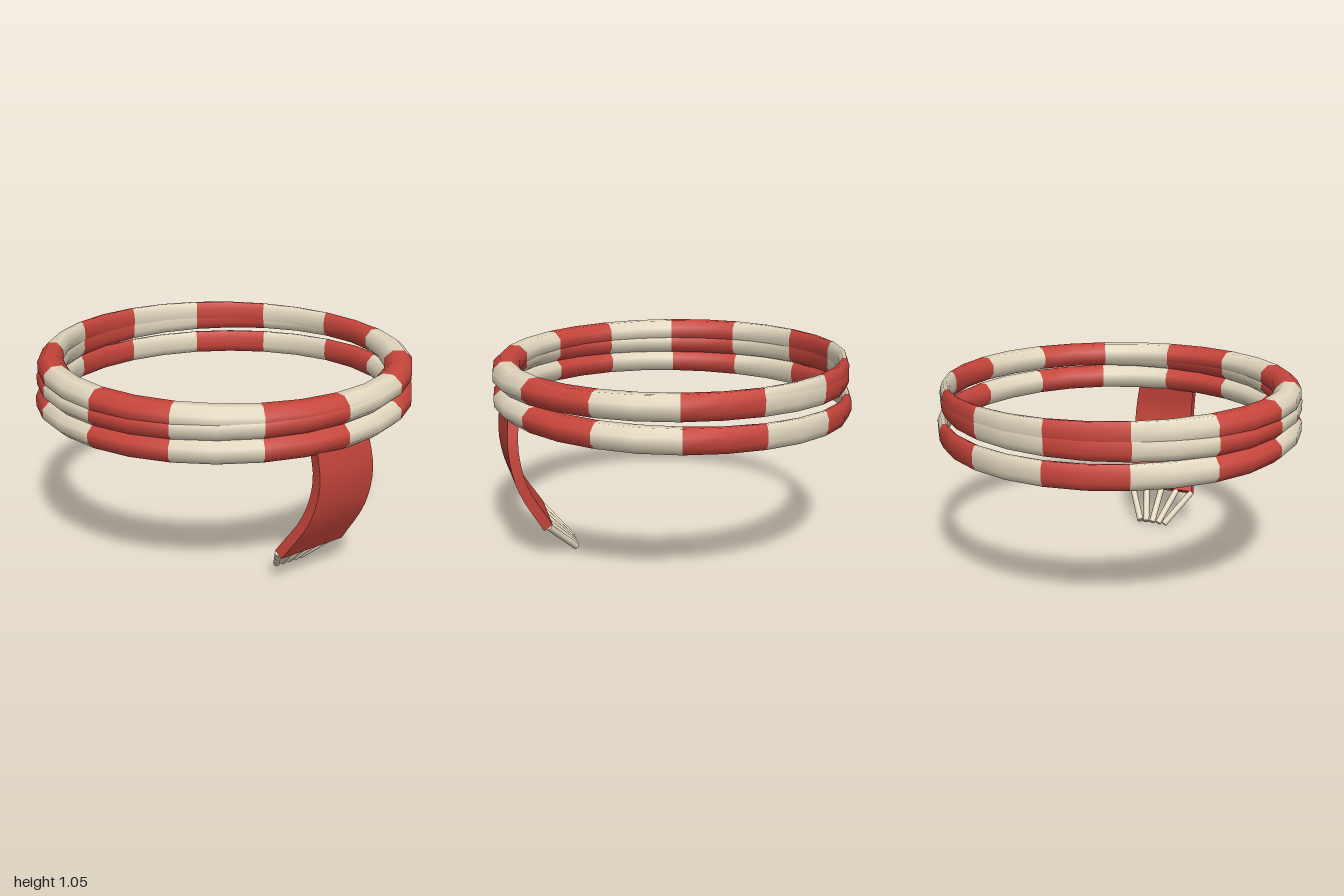
import * as THREE from 'three';
import { mergeGeometries } from 'three/addons/utils/BufferGeometryUtils.js';

const V = (x, y, z) => new THREE.Vector3(x, y, z);
const red = new THREE.MeshStandardMaterial({ color: 0xc8463c });
const cream = new THREE.MeshStandardMaterial({ color: 0xe3d8bf });

const SEGMENTS = 28, SIDES = 8, PER_STRIPE = 2;

// One closed wrap: octagonal section, thick in front and flat at the back,
// split into two meshes of alternating stripes that share smooth normals
function wrap(name, { rx, rz, cz, y, tiltX, tiltZ, half }) {
  const pos = [], index = [[], []];
  const k = 1 / Math.cos(Math.PI / SIDES);
  for (let i = 0; i < SEGMENTS; i++) {
    const a = (i / SEGMENTS) * Math.PI * 2, s = Math.sin(a), c = Math.cos(a);
    const thick = 0.025 + 0.043 * THREE.MathUtils.smoothstep(c, -0.7, 0.05);
    for (let j = 0; j < SIDES; j++) {
      const b = ((j + 0.5) / SIDES) * Math.PI * 2;
      const out = thick * k * Math.cos(b);
      pos.push(
        s * (rx + out),
        y + tiltX * s + tiltZ * c + half * k * Math.sin(b),
        cz + c * (rz + out)
      );
      const at = (m, n) => (m % SEGMENTS) * SIDES + (n % SIDES);
      const p = at(i, j), q = at(i + 1, j), r = at(i + 1, j + 1), t = at(i, j + 1);
      index[Math.floor(i / PER_STRIPE) % 2].push(p, q, r, p, r, t);
    }
  }
  const full = new THREE.BufferGeometry();
  full.setAttribute('position', new THREE.Float32BufferAttribute(pos, 3));
  full.setIndex([...index[0], ...index[1]]);
  full.computeVertexNormals();

  const group = new THREE.Group();
  group.name = name;
  [red, cream].forEach((material, n) => {
    const geometry = new THREE.BufferGeometry();
    geometry.setAttribute('position', full.attributes.position);
    geometry.setAttribute('normal', full.attributes.normal);
    geometry.setIndex(index[n]);
    const mesh = new THREE.Mesh(geometry, material);
    mesh.name = n ? 'creamStripes' : 'redStripes';
    group.add(mesh);
  });
  return group;
}

// Surface between two edge lines with the same number of points
function ribbon(left, right) {
  const g = new THREE.PlaneGeometry(1, 1, 1, left.length - 1);
  left.forEach((p, i) => {
    g.attributes.position.setXYZ(2 * i, p.x, p.y, p.z);
    g.attributes.position.setXYZ(2 * i + 1, right[i].x, right[i].y, right[i].z);
  });
  g.computeVertexNormals();
  return g;
}

// Hanging end: a curved slab that narrows inward towards the bottom
function hangingEnd() {
  const n = 12;
  const outL = new THREE.CatmullRomCurve3([
    V(0.265, 0.8, 0.88), V(0.285, 0.6, 0.885), V(0.25, 0.39, 0.845), V(0.14, 0.155, 0.745),
  ]).getPoints(n);
  const outR = new THREE.CatmullRomCurve3([
    V(0.565, 0.8, 0.73), V(0.6, 0.6, 0.725), V(0.58, 0.39, 0.685), V(0.5, 0.155, 0.58),
  ]).getPoints(n);
  const inward = (p, i) => V(p.x - 0.023, p.y + 0.03 * (i / n), p.z - 0.052 + 0.012 * (i / n));
  const inL = outL.map(inward), inR = outR.map(inward);
  const mesh = new THREE.Mesh(mergeGeometries([
    ribbon(outL, outR), ribbon(outR, inR), ribbon(inR, inL), ribbon(inL, outL),
    ribbon([inL[0], outL[0]], [inR[0], outR[0]]),
    ribbon([outL[n], inL[n]], [outR[n], inR[n]]),
  ]), red);
  mesh.name = 'hangingEnd';
  return mesh;
}

// Tassels that gather towards their tips
function fringe() {
  const group = new THREE.Group();
  group.name = 'fringe';
  for (let i = 0; i < 5; i++) {
    const t = i / 4;
    const top = V(0.13, 0.175, 0.715).lerp(V(0.485, 0.175, 0.56), t);
    const tip = V(0.17, 0.01, 0.525).lerp(V(0.31, 0.01, 0.465), t);
    const along = top.clone().sub(tip);
    const mesh = new THREE.Mesh(new THREE.CylinderGeometry(0.018, 0.018, along.length(), 8), cream);
    mesh.position.copy(top).add(tip).multiplyScalar(0.5);
    mesh.quaternion.setFromUnitVectors(V(0, 1, 0), along.normalize());
    mesh.name = 'tassel';
    group.add(mesh);
  }
  return group;
}

export function createModel() {
  const model = new THREE.Group();
  model.name = 'scarf';
  model.add(
    wrap('lowerWrap', { rx: 0.932, rz: 0.904, cz: -0.025, y: 0.8, tiltX: 0.005, tiltZ: 0.02, half: 0.062 }),
    // The two upper wraps cross, parting on the right side and merging on the left
    wrap('middleWrap', { rx: 0.922, rz: 0.895, cz: -0.015, y: 0.935, tiltX: 0.02, tiltZ: 0.004, half: 0.062 }),
    wrap('upperWrap', { rx: 0.914, rz: 0.893, cz: -0.016, y: 0.97, tiltX: -0.015, tiltZ: 0, half: 0.062 }),
    hangingEnd(),
    fringe()
  );
  return model;
}
